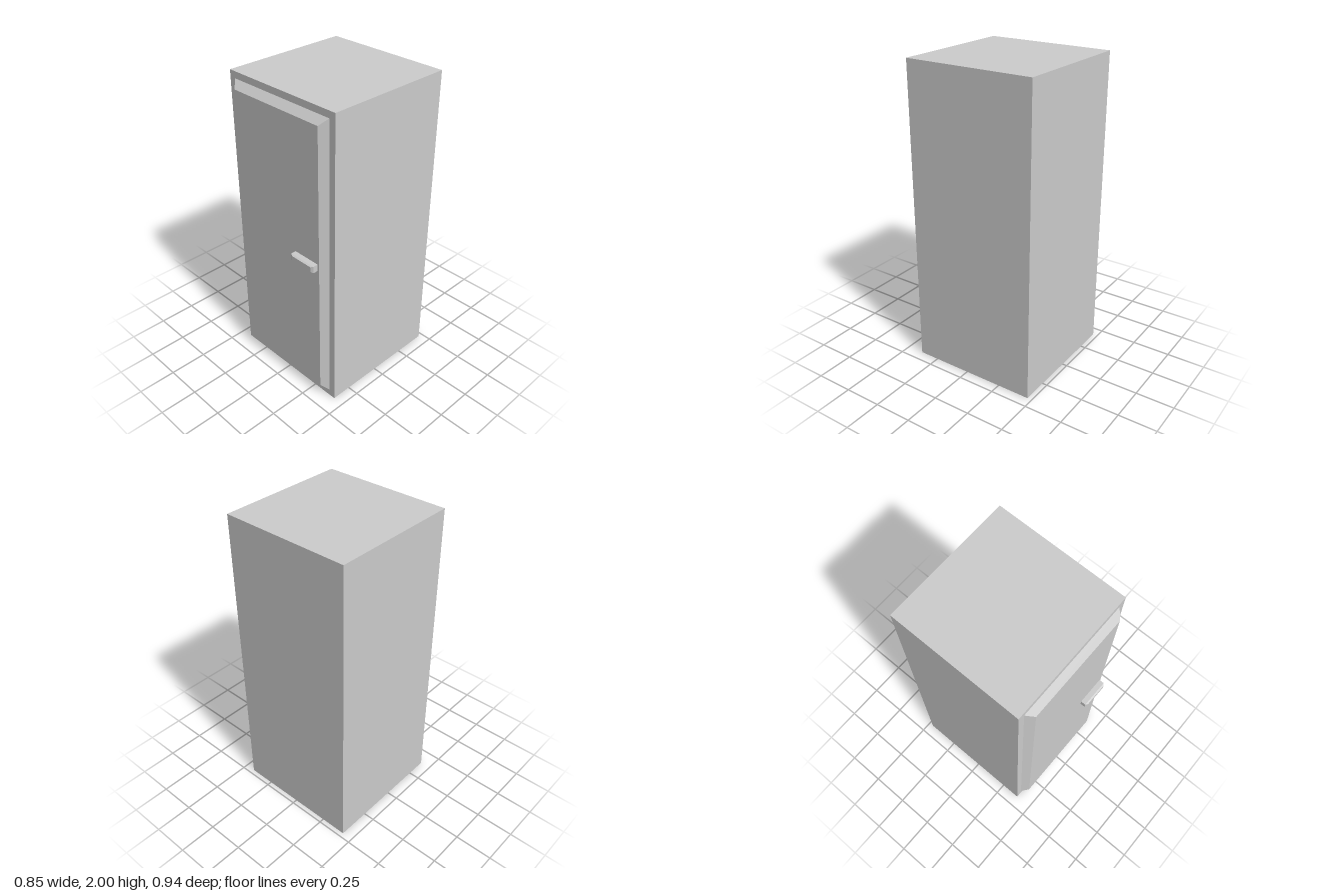
import * as THREE from 'three';

// Box spanning two corners, with its front (+z) face drawn in by insetX and insetY
function taperedBox(x0, x1, y0, y1, z0, z1, insetX = 0, insetY = 0) {
  const g = new THREE.BoxGeometry(x1 - x0, y1 - y0, z1 - z0);
  const p = g.attributes.position;
  for (let i = 0; i < p.count; i++) {
    if (p.getZ(i) > 0) {
      p.setX(i, p.getX(i) - Math.sign(p.getX(i)) * insetX);
      p.setY(i, p.getY(i) - Math.sign(p.getY(i)) * insetY);
    }
  }
  g.translate((x0 + x1) / 2, (y0 + y1) / 2, (z0 + z1) / 2);
  g.computeVertexNormals();
  return g;
}

export function createModel() {
  const model = new THREE.Group();
  model.name = 'cabinet';
  const grey = new THREE.MeshStandardMaterial({ color: 0xcccccc });
  grey.name = 'light grey';

  const add = (parent, name, geometry) => {
    const mesh = new THREE.Mesh(geometry, grey);
    mesh.name = name;
    parent.add(mesh);
  };

  // Main cabinet block
  add(model, 'body', taperedBox(-0.427, 0.427, 0, 2, -0.469, 0.384));

  // Raised door with bevelled border
  add(model, 'door', taperedBox(-0.384, 0.384, 0.045, 1.957, 0.384, 0.426, 0.043, 0.043));

  // Handle: straight bar with a chamfered front
  const handle = new THREE.Group();
  handle.name = 'handle';
  add(handle, 'handleBar', taperedBox(0.14, 0.329, 0.995, 1.04, 0.426, 0.459));
  add(handle, 'handleFront', taperedBox(0.14, 0.329, 0.995, 1.04, 0.459, 0.469, 0.016, 0.006));
  model.add(handle);

  return model;
}
